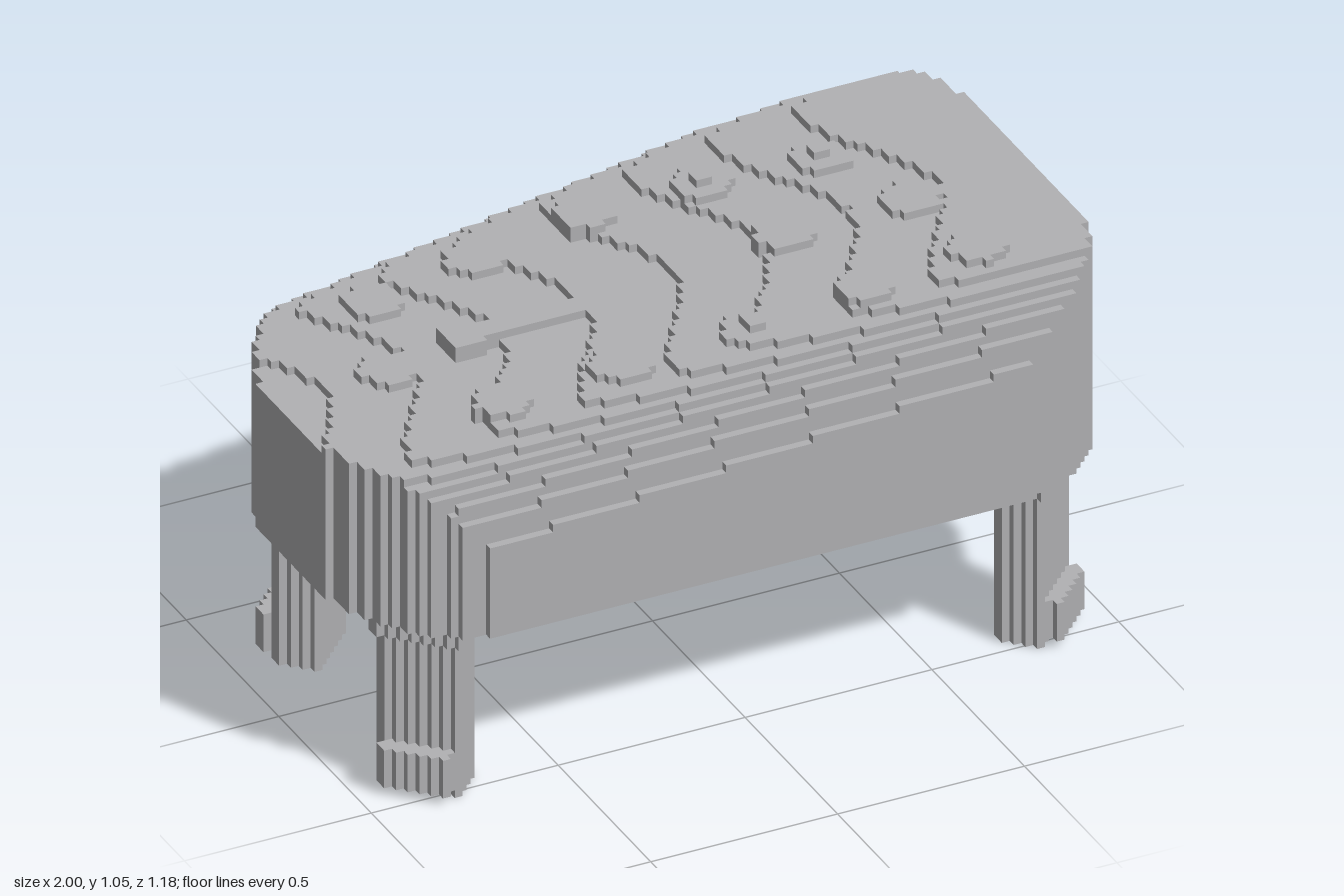
import * as THREE from 'three';

// Stepped (voxel) construction grid
const NX = 95, NY = 50, NZ = 56, V = 2 / NX;
const toX = i => (i + 0.5) * V - 1;
const toY = j => (j + 0.5) * V;
const toZ = k => (k + 0.5 - NZ / 2) * V;

// The six cell faces: outward direction and four corners, counter-clockwise
const FACES = [
  [[1, 0, 0], [[1, 0, 0], [1, 1, 0], [1, 1, 1], [1, 0, 1]]],
  [[-1, 0, 0], [[0, 0, 1], [0, 1, 1], [0, 1, 0], [0, 0, 0]]],
  [[0, 1, 0], [[0, 1, 0], [0, 1, 1], [1, 1, 1], [1, 1, 0]]],
  [[0, -1, 0], [[0, 0, 1], [0, 0, 0], [1, 0, 0], [1, 0, 1]]],
  [[0, 0, 1], [[0, 0, 1], [1, 0, 1], [1, 1, 1], [0, 1, 1]]],
  [[0, 0, -1], [[1, 0, 0], [0, 0, 0], [0, 1, 0], [1, 1, 0]]],
];

// Turn a solid rule (x, y, z) => boolean into a stepped mesh
function voxelMesh(name, solid, material) {
  const cells = new Uint8Array(NX * NY * NZ);
  const at = (i, j, k) => (i < 0 || j < 0 || k < 0 || i >= NX || j >= NY || k >= NZ)
    ? 0 : cells[(i * NY + j) * NZ + k];
  for (let i = 0; i < NX; i++)
    for (let j = 0; j < NY; j++)
      for (let k = 0; k < NZ; k++)
        if (solid(toX(i), toY(j), toZ(k))) cells[(i * NY + j) * NZ + k] = 1;
  const pos = [];
  for (let i = 0; i < NX; i++)
    for (let j = 0; j < NY; j++)
      for (let k = 0; k < NZ; k++) {
        if (!at(i, j, k)) continue;
        for (const [d, c] of FACES) {
          if (at(i + d[0], j + d[1], k + d[2])) continue;
          for (const n of [0, 1, 2, 0, 2, 3])
            pos.push((i + c[n][0]) * V - 1, (j + c[n][1]) * V, (k + c[n][2] - NZ / 2) * V);
        }
      }
  const geo = new THREE.BufferGeometry();
  geo.setAttribute('position', new THREE.Float32BufferAttribute(pos, 3));
  geo.computeVertexNormals();
  const mesh = new THREE.Mesh(geo, material);
  mesh.name = name;
  return mesh;
}

// Piecewise linear curve through [x, value] points
function curve(points, x) {
  if (x <= points[0][0]) return points[0][1];
  for (let n = 1; n < points.length; n++) {
    const [x0, a] = points[n - 1], [x1, b] = points[n];
    if (x <= x1) return a + (b - a) * (x - x0) / (x1 - x0);
  }
  return points[points.length - 1][1];
}

// Plan outline: front and back edges along x
const FRONT = [[-1, 0.22], [-0.96, 0.37], [-0.9, 0.46], [-0.85, 0.52], [-0.76, 0.57], [-0.67, 0.59],
  [0.69, 0.59], [0.82, 0.55], [0.9, 0.5], [0.96, 0.42], [1, 0.31]];
const BACK = [[-1, -0.08], [-0.96, -0.22], [-0.9, -0.31], [-0.8, -0.42], [-0.7, -0.46], [-0.6, -0.49],
  [-0.4, -0.52], [-0.1, -0.555], [0.15, -0.575], [0.4, -0.595], [0.77, -0.595], [0.85, -0.575],
  [0.93, -0.5], [0.96, -0.45], [1, -0.31]];
const inPlan = (x, z) => Math.abs(x) < 1 && z < curve(FRONT, x) && z > curve(BACK, x);

// Plan shrunk by the wall thickness
const WALL = 0.08;
const RING = Array.from({ length: 8 }, (_, n) => [WALL * Math.cos(n * Math.PI / 4), WALL * Math.sin(n * Math.PI / 4)]);
const inCavity = (x, z) => RING.every(([dx, dz]) => inPlan(x + dx, z + dz));

// Sloping top with gentle waves and rounded front and back edges
const quarter = u => 1 - Math.sqrt(1 - Math.min(1, Math.max(0, u)) ** 2);
function slope(x, z) {
  const shift = 0.08 * Math.cos(z * 7.4) - 0.12 * Math.max(0, z);
  return 1.03 - 0.09 * Math.max(0, 0.78 - x + shift);
}
function topHeight(x, z, inset = 0) {
  const back = Math.max(-0.595, -0.555 - 0.105 * x) + inset;
  return slope(x, z) - inset - 0.29 * quarter((z + inset - 0.4) / 0.19)
    - 0.17 * quarter((back + 0.15 - z) / 0.15);
}
const BASE = 0.463;
const inBody = (x, y, z) => y > BASE && inPlan(x, z) && y < topHeight(x, z);

// Raised studs on top: x, z, and whether a small pip sits on it
const STUDS = [
  [-0.62, -0.26], [-0.33, -0.3], [-0.03, -0.31], [0.27, -0.28, 1], [0.56, -0.23, 1],
  [-0.71, 0.01], [0.34, 0.02], [0.67, 0.04, 1],
  [-0.56, 0.32], [-0.25, 0.33], [0.09, 0.35, 1], [0.39, 0.36], [0.7, 0.34],
];

// Legs: x, z, outward signs
const LEGS = [
  ['frontLeftLeg', 0.81, 0.41, 1, 1], ['frontRightLeg', -0.81, 0.41, -1, 1],
  ['backLeftLeg', 0.81, -0.45, 1, -1], ['backRightLeg', -0.79, -0.26, -1, -1],
];

export function createModel() {
  const grey = new THREE.MeshStandardMaterial({ color: 0xb2b2b4 });
  grey.name = 'plain grey';
  const model = new THREE.Group();
  model.name = 'steppedStool';

  // Hollow body, open underneath
  model.add(voxelMesh('bodyShell', (x, y, z) => inBody(x, y, z)
    && !(inCavity(x, z) && y < topHeight(x, z, WALL)), grey));

  // Studs, one step above the local surface
  const studs = new THREE.Group();
  studs.name = 'topStuds';
  for (const [cx, cz, pip] of STUDS) {
    studs.add(voxelMesh('stud', (x, y, z) => {
      const r = Math.hypot(x - cx, z - cz);
      if (r > 0.072) return false;
      const h = slope(cx, cz);
      return y > topHeight(x, z) && y < h + V * (pip && cx < 0.65 && r < 0.025 ? 2 : 1);
    }, grey));
  }
  model.add(studs);

  // Raised bar with flared ends
  model.add(voxelMesh('topBar', (x, y, z) => {
    const half = x < -0.48 ? 0.055 : x < -0.2 ? 0.035 : 0.11;
    return x > -0.56 && x < -0.14 && Math.abs(z - 0.01) < half
      && y > topHeight(x, z) && y < slope(-0.34, 0.01) + V;
  }, grey));

  // Round post under the top
  model.add(voxelMesh('innerPost', (x, y, z) => Math.hypot(x - 0.1, z + 0.14) < 0.2
    && y > BASE && y < topHeight(x, z, WALL), grey));

  // Diagonal legs with an outward toe
  for (const [name, cx, cz, sx, sz] of LEGS) {
    model.add(voxelMesh(name, (x, y, z) => {
      const a = (x - cx) * sx, b = (z - cz) * sz;
      const u = (a + b) * Math.SQRT1_2, v = (a - b) * Math.SQRT1_2;
      const flare = y > 0.42 ? 0.012 : 0;
      const shaft = Math.abs(u) < 0.058 + flare && Math.abs(v) < 0.1 + flare;
      const toe = u > 0 && u < 0.105 && Math.abs(v) < 0.082 && y > 0.02 && y < 0.13;
      return y < 0.76 && (shaft || toe) && (y < BASE || inBody(x, y, z));
    }, grey));
  }
  return model;
}
